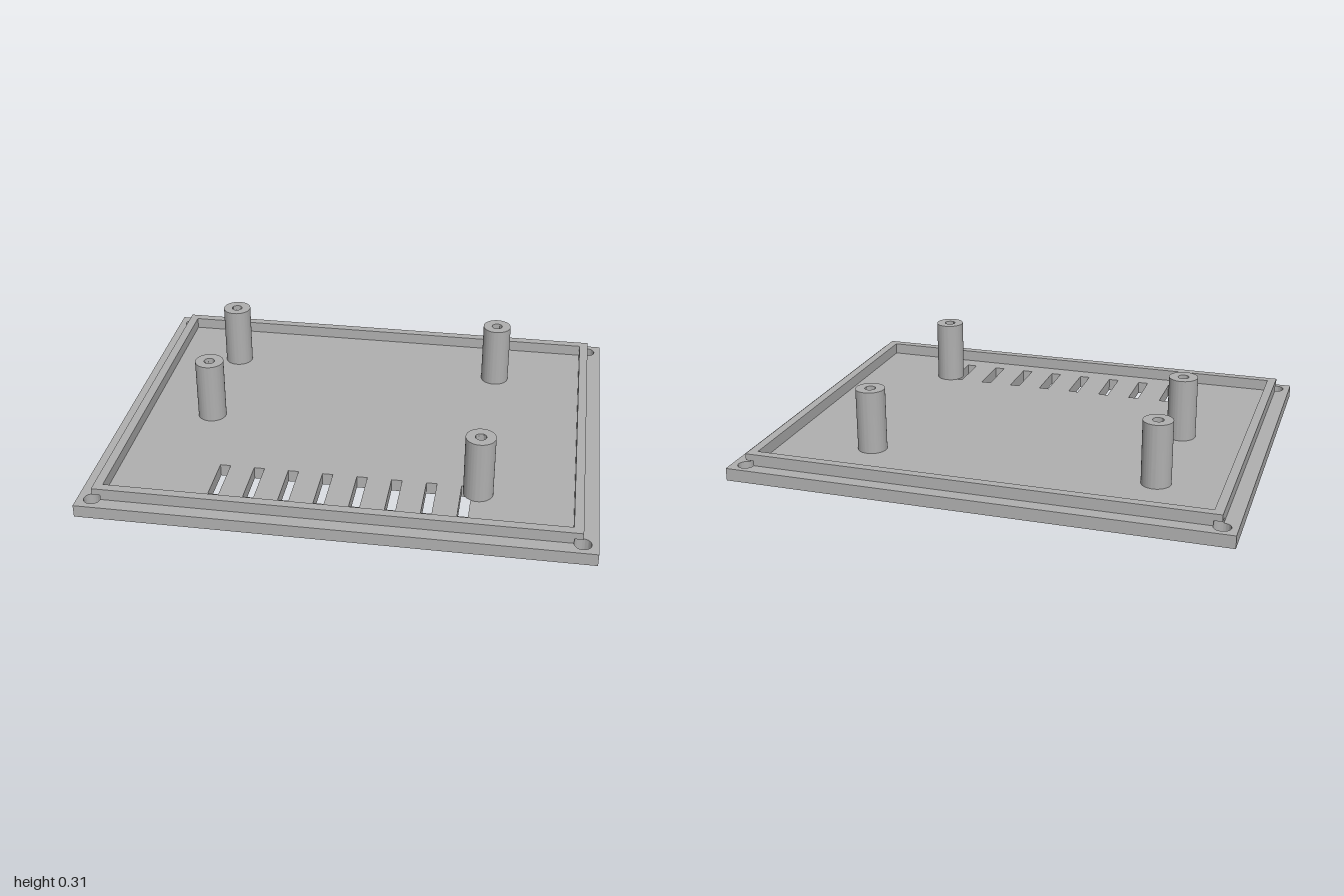
import * as THREE from 'three';
import { toCreasedNormals } from 'three/addons/utils/BufferGeometryUtils.js';

const FLOOR = 0.051, NOTCH_TOP = 0.071, LIP_TOP = 0.098, POST_TOP = 0.31;
const LIP_X = 0.941, LIP_Z = 0.744, LIP_WALL = 0.036, SCREW_R = 0.033;
const CORNERS = [[1, 1], [-1, 1], [-1, -1], [1, -1]];

// Rectangle outline in plan (x, z)
function rect(PathType, cx, cz, hx, hz) {
  const points = CORNERS.map(([sx, sz]) => new THREE.Vector2(cx + sx * hx, cz + sz * hz));
  return new PathType(points);
}

function circle(PathType, cx, cz, r) {
  const path = new PathType();
  path.absarc(cx, cz, r, 0, Math.PI * 2, false);
  return path;
}

// Extrude a plan outline between two heights
function slab(shape, y0, y1) {
  const geometry = new THREE.ExtrudeGeometry(shape, { depth: y1 - y0, bevelEnabled: false, curveSegments: 32 });
  geometry.rotateX(Math.PI / 2).translate(0, y1, 0);
  return toCreasedNormals(geometry, 0.6);
}

export function createModel() {
  const model = new THREE.Group();
  model.name = 'enclosureLid';
  const plastic = new THREE.MeshStandardMaterial({ color: 0xb0b0b0 });
  plastic.name = 'grey plastic';

  const add = (name, geometry) => {
    const mesh = new THREE.Mesh(geometry, plastic);
    mesh.name = name;
    model.add(mesh);
    return mesh;
  };

  // Base plate with corner screw holes and a row of vent slots
  const plate = rect(THREE.Shape, 0, 0, 1, 0.8);
  for (const [sx, sz] of CORNERS) {
    plate.holes.push(circle(THREE.Path, sx * LIP_X, sz * LIP_Z, SCREW_R));
  }
  for (let i = 0; i < 8; i++) {
    plate.holes.push(rect(THREE.Path, (i - 3.5) * 0.139, 0.538, 0.021, 0.102));
  }
  add('basePlate', slab(plate, 0, FLOOR));

  // Lower part of the lip, its corners cut away around the screw holes
  const inner = () => rect(THREE.Path, 0, 0, LIP_X - LIP_WALL, LIP_Z - LIP_WALL);
  const notched = new THREE.Shape();
  CORNERS.forEach(([sx, sz], k) => {
    const end = Math.PI * (1 + k / 2);
    notched.absarc(sx * LIP_X, sz * LIP_Z, SCREW_R, end + Math.PI / 2, end, true);
  });
  notched.closePath();
  notched.holes.push(inner());
  add('lipLower', slab(notched, FLOOR, NOTCH_TOP));

  // Upper part of the lip with full corners
  const lip = rect(THREE.Shape, 0, 0, LIP_X, LIP_Z);
  lip.holes.push(inner());
  add('lipUpper', slab(lip, NOTCH_TOP, LIP_TOP));

  // Hollow mounting posts
  const ring = circle(THREE.Shape, 0, 0, 0.059);
  ring.holes.push(circle(THREE.Path, 0, 0, 0.022));
  const postGeometry = slab(ring, FLOOR, POST_TOP);
  for (const [x, z] of [[-0.637, -0.44], [0.533, -0.44], [-0.637, 0.058], [0.533, 0.475]]) {
    add('mountingPost', postGeometry).position.set(x, 0, z);
  }
  return model;
}
